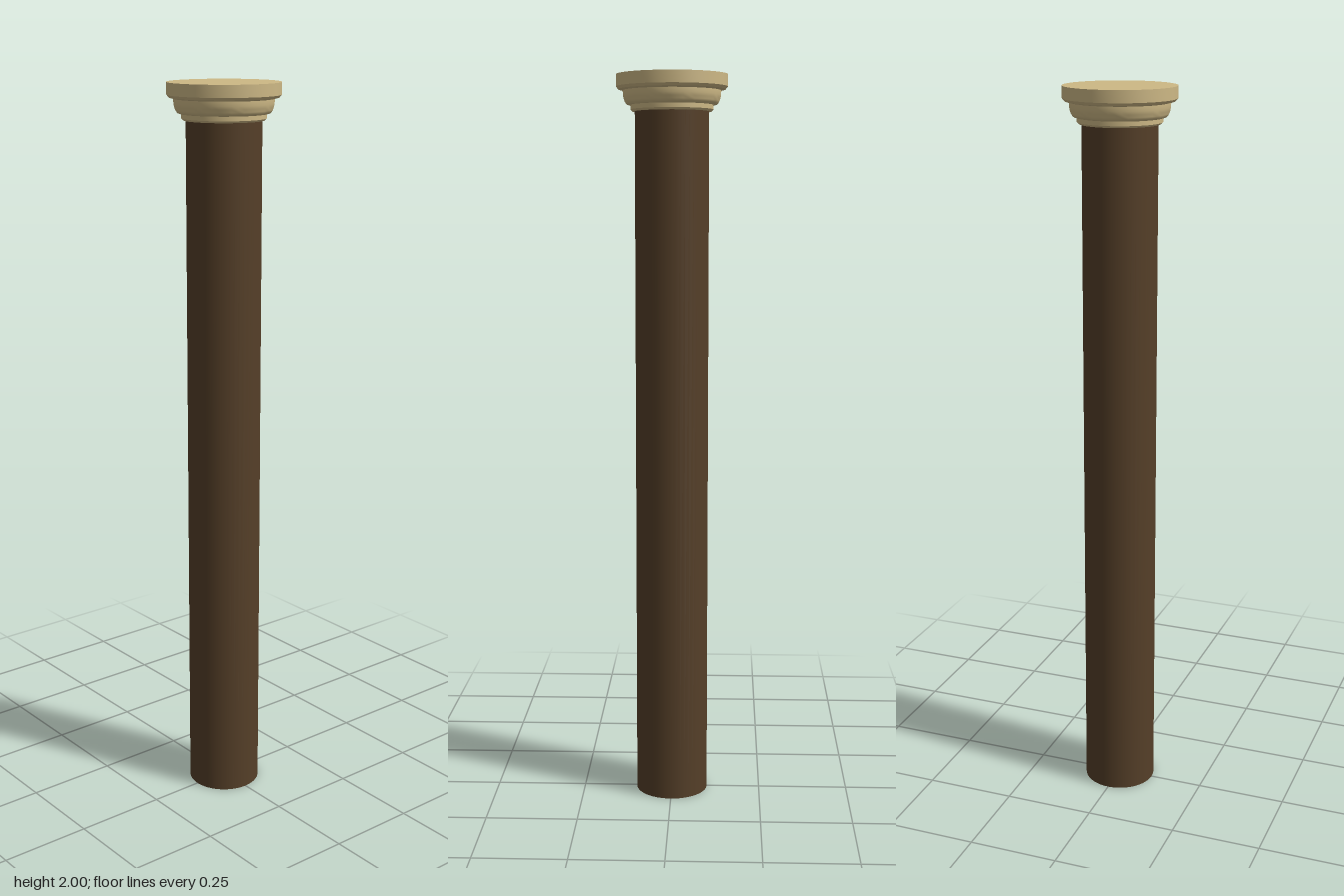
import * as THREE from 'three';
import { toCreasedNormals } from 'three/addons/utils/BufferGeometryUtils.js';

const SIDES = 48;

export function createModel() {
  const group = new THREE.Group();
  group.name = 'column';

  const add = (name, geometry, color) => {
    const mesh = new THREE.Mesh(geometry, new THREE.MeshStandardMaterial({ color }));
    mesh.name = name;
    group.add(mesh);
  };

  // Plain round shaft, reaching up to the capital
  const shaft = new THREE.CylinderGeometry(0.1, 0.1, 1.91, SIDES);
  shaft.translate(0, 0.955, 0);
  add('shaft', shaft, 0x553f28);

  // Turned capital: neck ring, swelling cushion, overhanging round slab
  const profile = [[0, 1.903], [0.107, 1.903], [0.112, 1.908], [0.112, 1.92], [0.117, 1.92]];
  for (let i = 1; i <= 6; i++) {
    const a = (i / 6) * Math.PI / 2;
    profile.push([0.117 + 0.015 * Math.sin(a), 1.955 - 0.035 * Math.cos(a)]);
  }
  profile.push([0.132, 1.958], [0.144, 1.961], [0.15, 1.968], [0.15, 2], [0, 2]);
  const capital = new THREE.LatheGeometry(profile.map(([r, y]) => new THREE.Vector2(r, y)), SIDES);
  add('capital', toCreasedNormals(capital, Math.PI / 6), 0xcdb885);

  return group;
}
